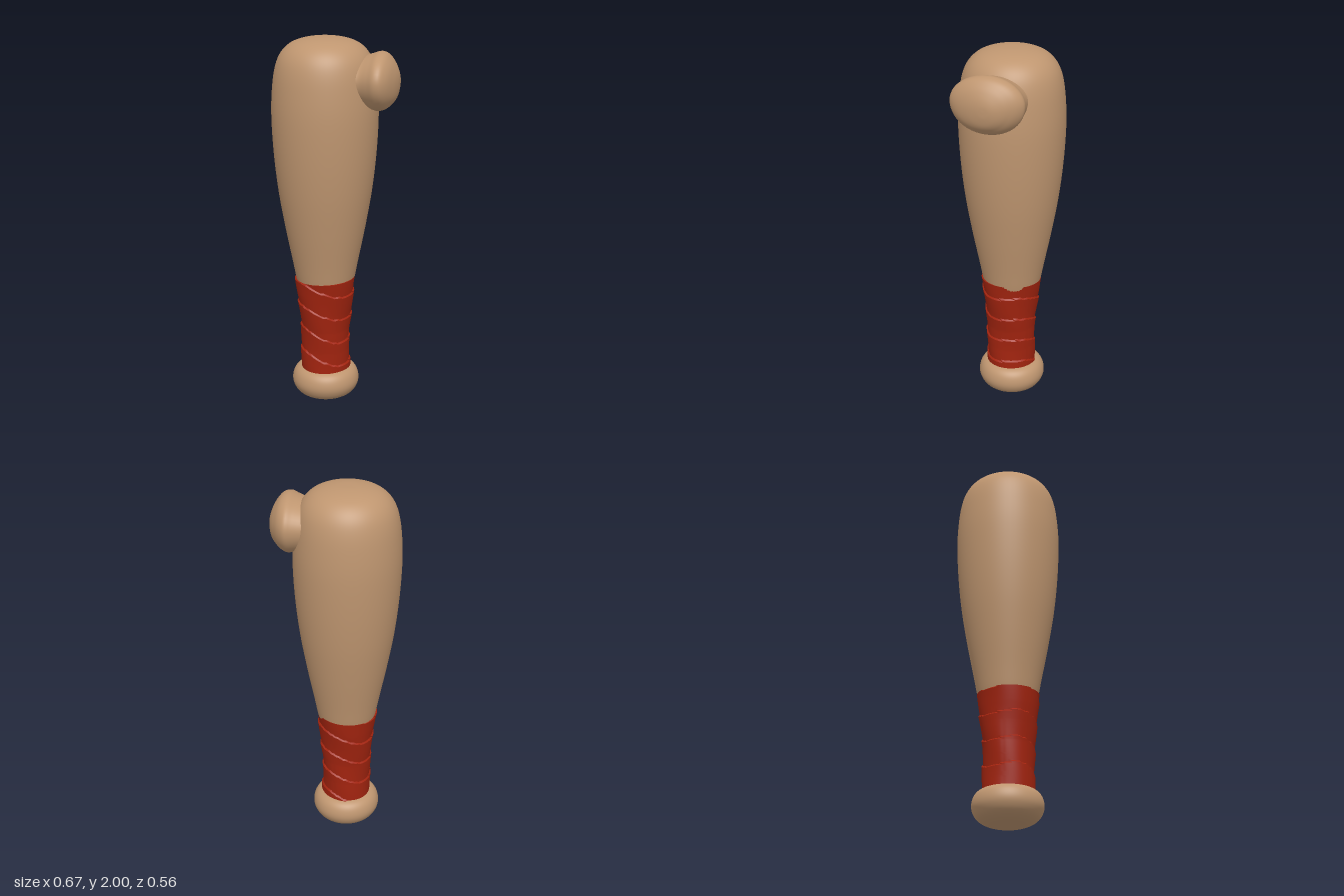
import * as THREE from 'three';
import { mergeVertices, toCreasedNormals } from 'three/addons/utils/BufferGeometryUtils.js';
import { ParametricGeometry } from 'three/addons/geometries/ParametricGeometry.js';

const AXIS_X = -0.058;

const wood = new THREE.MeshStandardMaterial({ color: 0xbf9670 });
wood.name = 'wood';
const redTape = new THREE.MeshStandardMaterial({ color: 0xa3240f });
redTape.name = 'redTape';

// Smooth turned part from a few [radius, height] points
function turned(name, profile) {
  const curve = new THREE.SplineCurve(profile.map(([r, y]) => new THREE.Vector2(r, y)));
  const points = curve.getPoints(profile.length * 5);
  points.forEach((p) => { p.x = Math.max(p.x, 0); });
  const mesh = new THREE.Mesh(new THREE.LatheGeometry(points, 64), wood);
  mesh.name = name;
  mesh.position.x = AXIS_X;
  return mesh;
}

// Parametric skin with its seam and poles welded
function skin(fn, slices, stacks) {
  const geo = new ParametricGeometry(fn, slices, stacks);
  geo.deleteAttribute('normal');
  geo.deleteAttribute('uv');
  const welded = mergeVertices(geo, 1e-5);
  welded.computeVertexNormals();
  return welded;
}

// Linear lookup in a table of [key, value] rows
function lookup(table, key) {
  let i = 0;
  while (i < table.length - 2 && key > table[i + 1][0]) i++;
  const [a, b] = [table[i], table[i + 1]];
  return THREE.MathUtils.lerp(a[1], b[1], (key - a[0]) / (b[0] - a[0]));
}

// Wrapped grip: one strip wound downwards, each turn lapping over the next
function makeGrip() {
  const radii = [[0.18, 0.131], [0.3, 0.127], [0.42, 0.129], [0.52, 0.138], [0.62, 0.149], [0.72, 0.158]];
  const rows = 72;
  const geo = skin((u, v, target) => {
    const angle = u * Math.PI * 2;
    const row = Math.round(v * rows);
    const rim = row === 0 || row === rows;
    const t = THREE.MathUtils.clamp((row - 1) / (rows - 2), 0, 1);
    const tilt = Math.sin(angle) * 0.009;
    const y = THREE.MathUtils.lerp(0.183, 0.707, t) + tilt;
    const turn = (y + 0.02 * Math.sin(angle * 2)) / 0.135 + u + 0.05;
    const lap = turn - Math.floor(turn);
    const wobble = 0.002 * Math.sin(angle * 3 + y * 17);
    const r = lookup(radii, y) + 0.008 * lap + wobble - (rim ? 0.025 : 0);
    target.set(AXIS_X + Math.sin(angle) * r, y, Math.cos(angle) * r + 0.004);
  }, 64, rows);
  const mesh = new THREE.Mesh(toCreasedNormals(geo, 0.7), redTape);
  mesh.name = 'gripWrap';
  return mesh;
}

// Branch stub: egg-shaped sections along x, as [x, top, bottom, front, back]
function makeStub() {
  const sections = [
    [0.09, 1.9, 1.68, 0.18, -0.175],
    [0.15, 1.912, 1.655, 0.17, -0.16],
    [0.2, 1.927, 1.643, 0.19, -0.165],
    [0.237, 1.938, 1.638, 0.209, -0.172],
    [0.268, 1.93, 1.648, 0.206, -0.153],
    [0.298, 1.9, 1.672, 0.172, -0.113],
    [0.322, 1.855, 1.705, 0.105, -0.065],
    [0.333, 1.815, 1.75, 0.045, -0.025],
    [0.335, 1.785, 1.785, 0.01, 0.01],
  ];
  const path = (f) => new THREE.CatmullRomCurve3(sections.map(f));
  const high = path(([x, top, , front]) => new THREE.Vector3(x, top, front));
  const low = path(([x, , bottom, , back]) => new THREE.Vector3(x, bottom, back));
  const geo = skin((u, v, target) => {
    const a = high.getPoint(v);
    const b = low.getPoint(v);
    const c = Math.cos(u * Math.PI * 2);
    const s = Math.sin(u * Math.PI * 2);
    const midY = THREE.MathUtils.lerp(b.y, a.y, 0.54);
    const midZ = (a.z + b.z) / 2 - 0.008 * (a.z - b.z);
    target.set(
      a.x,
      midY + c * (c > 0 ? a.y - midY : midY - b.y),
      midZ + s * (s > 0 ? a.z - midZ : midZ - b.z),
    );
  }, 48, 40);
  const mesh = new THREE.Mesh(geo, wood);
  mesh.name = 'branchStub';
  return mesh;
}

export function createModel() {
  const model = new THREE.Group();
  model.name = 'woodenClub';

  model.add(turned('barrel', [
    [0.115, 0.15], [0.115, 0.4], [0.135, 0.6], [0.157, 0.7], [0.176, 0.8], [0.215, 1.0],
    [0.248, 1.2], [0.269, 1.4], [0.278, 1.6], [0.271, 1.75], [0.255, 1.85], [0.228, 1.915],
    [0.185, 1.96], [0.13, 1.985], [0.06, 1.998], [0, 2.0],
  ]));

  model.add(turned('endKnob', [
    [0, 0.004], [0.06, 0.01], [0.115, 0.024], [0.155, 0.048], [0.177, 0.083], [0.182, 0.118],
    [0.172, 0.155], [0.15, 0.18], [0.115, 0.192], [0.06, 0.194],
  ]));

  model.add(makeGrip(), makeStub());
  return model;
}
